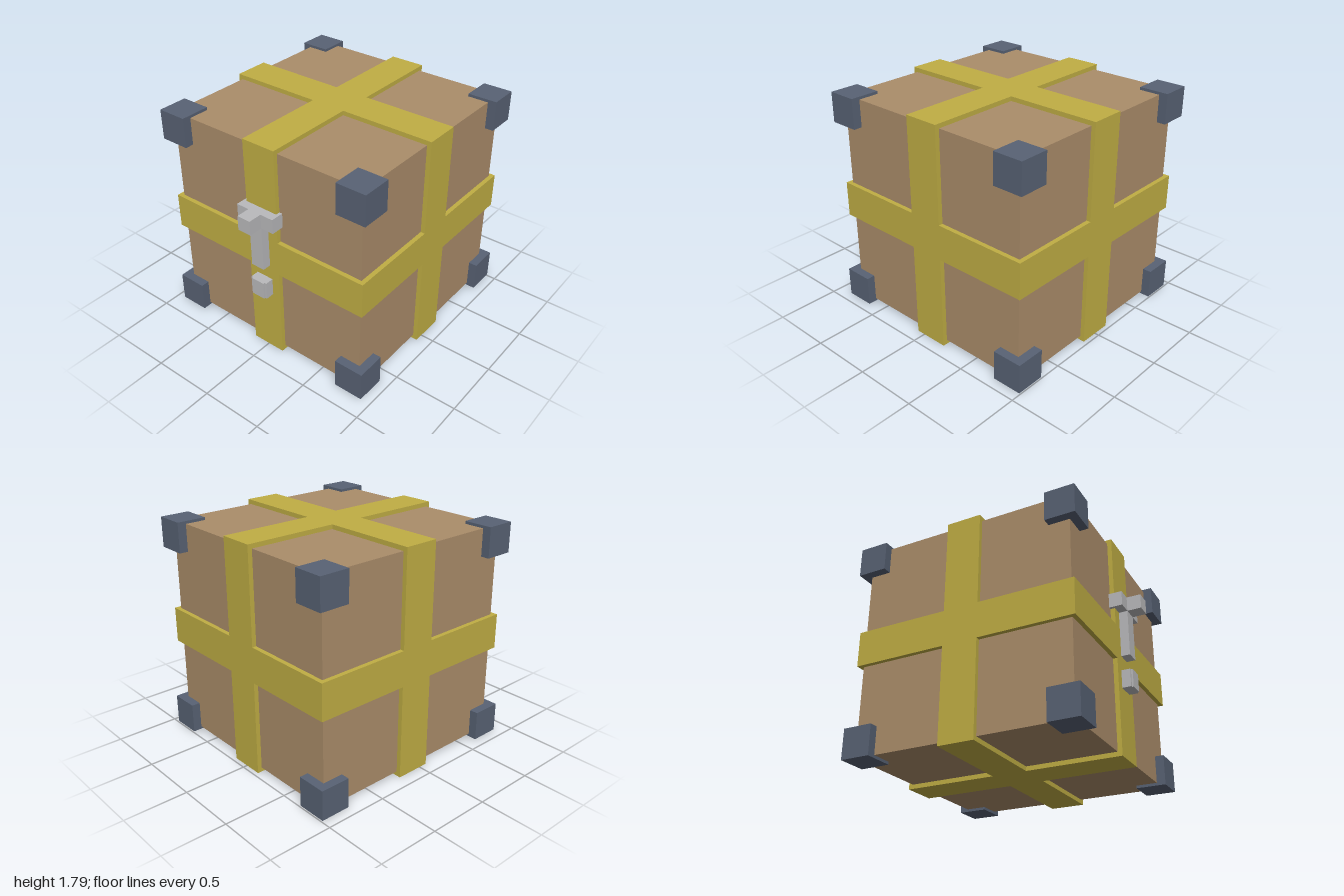
import * as THREE from 'three';

export function createModel() {
  const model = new THREE.Group();
  model.name = 'strappedCrate';

  const material = (name, color) => {
    const m = new THREE.MeshStandardMaterial({ color });
    m.name = name;
    return m;
  };
  const wood = material('brown wood', 0xab8d6a);
  const brass = material('yellow strap', 0xc0ae44);
  const steel = material('blue grey corner', 0x586274);
  const silver = material('light grey latch', 0xbababc);

  // Box given by its lowest and highest corners
  const box = (parent, name, mat, [x0, y0, z0], [x1, y1, z1]) => {
    const mesh = new THREE.Mesh(new THREE.BoxGeometry(x1 - x0, y1 - y0, z1 - z0), mat);
    mesh.position.set((x0 + x1) / 2, (y0 + y1) / 2, (z0 + z1) / 2);
    mesh.name = name;
    parent.add(mesh);
  };
  const group = (name, y = 0, z = 0) => {
    const g = new THREE.Group();
    g.name = name;
    g.position.set(0, y, z);
    model.add(g);
    return g;
  };

  // Crate body, straps and corners share one centre
  const cy = 0.895, cz = -0.072;
  const body = group('body', cy, cz);
  const b = 0.858;
  box(body, 'crate', wood, [-b, -b, -b], [b, b, b]);

  // One strap around the crate for each axis
  const straps = group('straps', cy, cz);
  const s = 0.893, w = 0.141;
  box(straps, 'lengthwiseStrap', brass, [-w, -s, -s], [w, s, s]);
  box(straps, 'horizontalStrap', brass, [-s, -w, -s], [s, w, s]);
  box(straps, 'crosswiseStrap', brass, [-s, -s, -w], [s, s, w]);

  // Eight corner protectors
  const corners = group('corners', cy, cz);
  const size = 0.237;
  for (const x of [-1, 1]) for (const y of [-1, 1]) for (const z of [-1, 1]) {
    const corner = new THREE.Mesh(new THREE.BoxGeometry(size, size, size), steel);
    corner.position.set(x * 0.808, y * 0.761, z * 0.809);
    corner.name = 'cornerProtector';
    corners.add(corner);
  }

  // Latch with its crossbar, knob and hanging hasp, and the catch below
  const latch = group('latch');
  box(latch, 'crossbar', silver, [-0.166, 1.17, 0.785], [0.166, 1.286, 0.89]);
  box(latch, 'knob', silver, [-0.057, 1.17, 0.89], [0.057, 1.286, 1.0]);
  box(latch, 'hasp', silver, [-0.057, 0.803, 0.8], [0.057, 1.17, 0.89]);
  box(latch, 'catchBase', silver, [-0.073, 0.54, 0.8], [0.073, 0.681, 0.89]);
  box(latch, 'catchFront', silver, [-0.057, 0.54, 0.89], [0.057, 0.681, 0.903]);

  return model;
}
